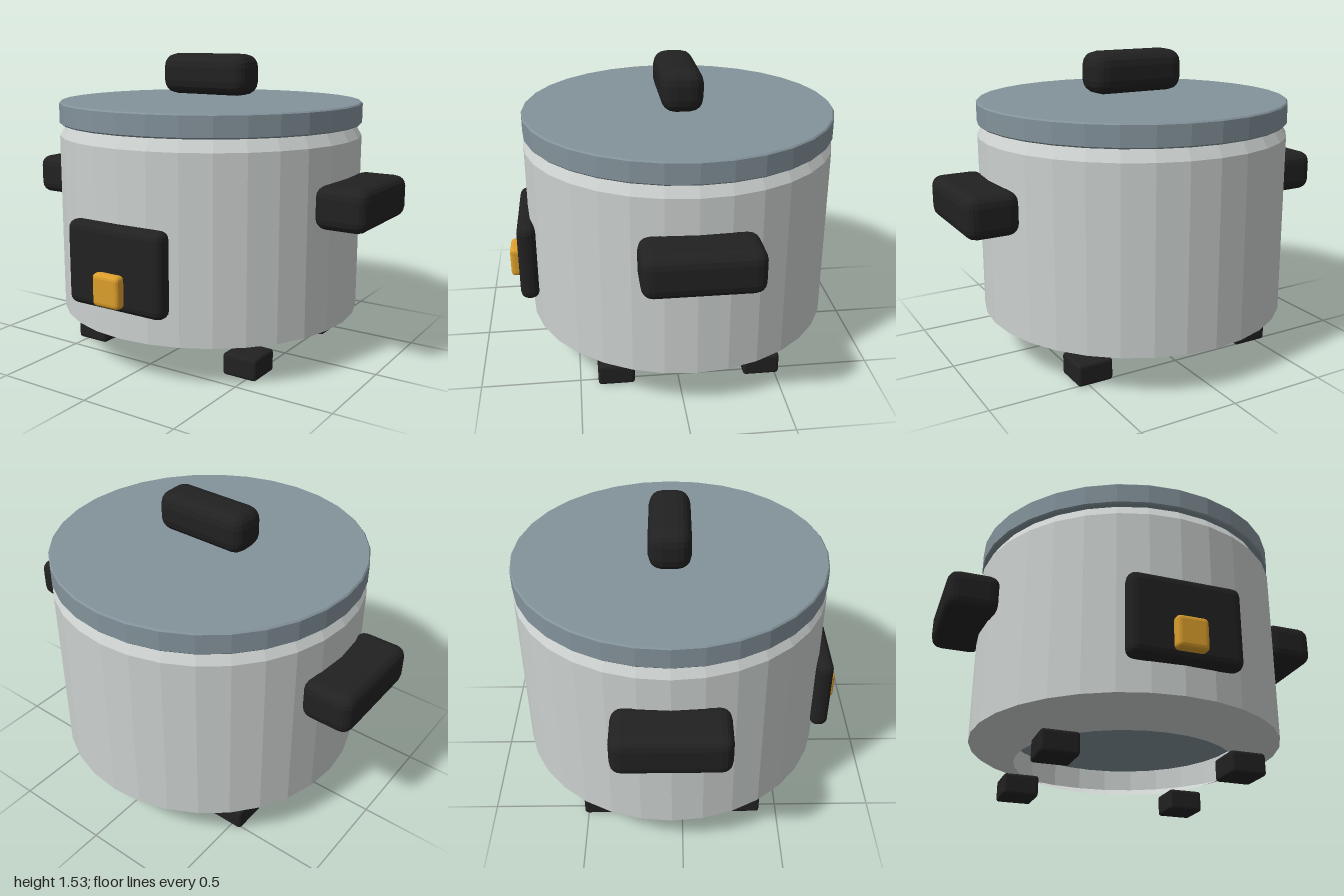
import * as THREE from 'three';
import { RoundedBoxGeometry } from 'three/addons/geometries/RoundedBoxGeometry.js';

const flat = (name, color, side = THREE.FrontSide) =>
  new THREE.MeshStandardMaterial({ name, color, side, flatShading: true });

export function createModel() {
  const steel = flat('brushed steel', 0xcbd0ce, THREE.DoubleSide);
  const slate = flat('slate metal', 0x83929a);
  const black = flat('black plastic', 0x212121);
  const amber = flat('amber switch', 0xdb9e2c);

  const model = new THREE.Group();
  model.name = 'riceCooker';
  const axisZ = -0.055; // the round pot sits slightly behind the origin

  const add = (name, geometry, material, x, y, z) => {
    const mesh = new THREE.Mesh(geometry, material);
    mesh.name = name;
    mesh.position.set(x, y, z);
    model.add(mesh);
    return mesh;
  };
  const block = (name, material, [w, h, d], radius, x, y, z, segments = 2) =>
    add(name, new RoundedBoxGeometry(w, h, d, segments, radius), material, x, y, z);
  const lathe = (name, material, points) =>
    add(name, new THREE.LatheGeometry(points.map(([r, y]) => new THREE.Vector2(r, y)), 32), material, 0, 0, axisZ);

  // Open-bottomed shell with a tapered base and a sloped shoulder
  lathe('body', steel, [[0.56, 0.12], [0.79, 0.21], [0.79, 1.12], [0.755, 1.18]]);

  // Inner pot, seen through the open base
  lathe('innerPot', slate, [[0, 0.27], [0.6, 0.27], [0.6, 1.15], [0, 1.15]]);

  // Lid with a fine bevel
  lathe('lid', slate, [[0, 1.18], [0.783, 1.18], [0.79, 1.187], [0.79, 1.285], [0.783, 1.292], [0, 1.292]]);
  block('lidHandle', black, [0.51, 0.21, 0.21], 0.07, 0, 1.425, axisZ);

  // Side handles
  for (const [side, name] of [[1, 'leftHandle'], [-1, 'rightHandle']]) {
    block(name, black, [0.262, 0.21, 0.555], 0.055, side * 0.869, 0.84, axisZ);
  }

  // Control panel and switch
  block('controlPanel', black, [0.555, 0.415, 0.097], 0.042, 0, 0.562, 0.738);
  block('switch', amber, [0.155, 0.16, 0.06], 0.022, 0, 0.47, 0.813);

  // Feet
  for (const x of [-1, 1]) {
    for (const z of [-1, 1]) {
      const name = (z > 0 ? 'front' : 'back') + (x > 0 ? 'Left' : 'Right') + 'Foot';
      block(name, black, [0.185, 0.112, 0.185], 0.016, x * 0.463, 0.056, axisZ + z * 0.372);
    }
  }
  return model;
}
